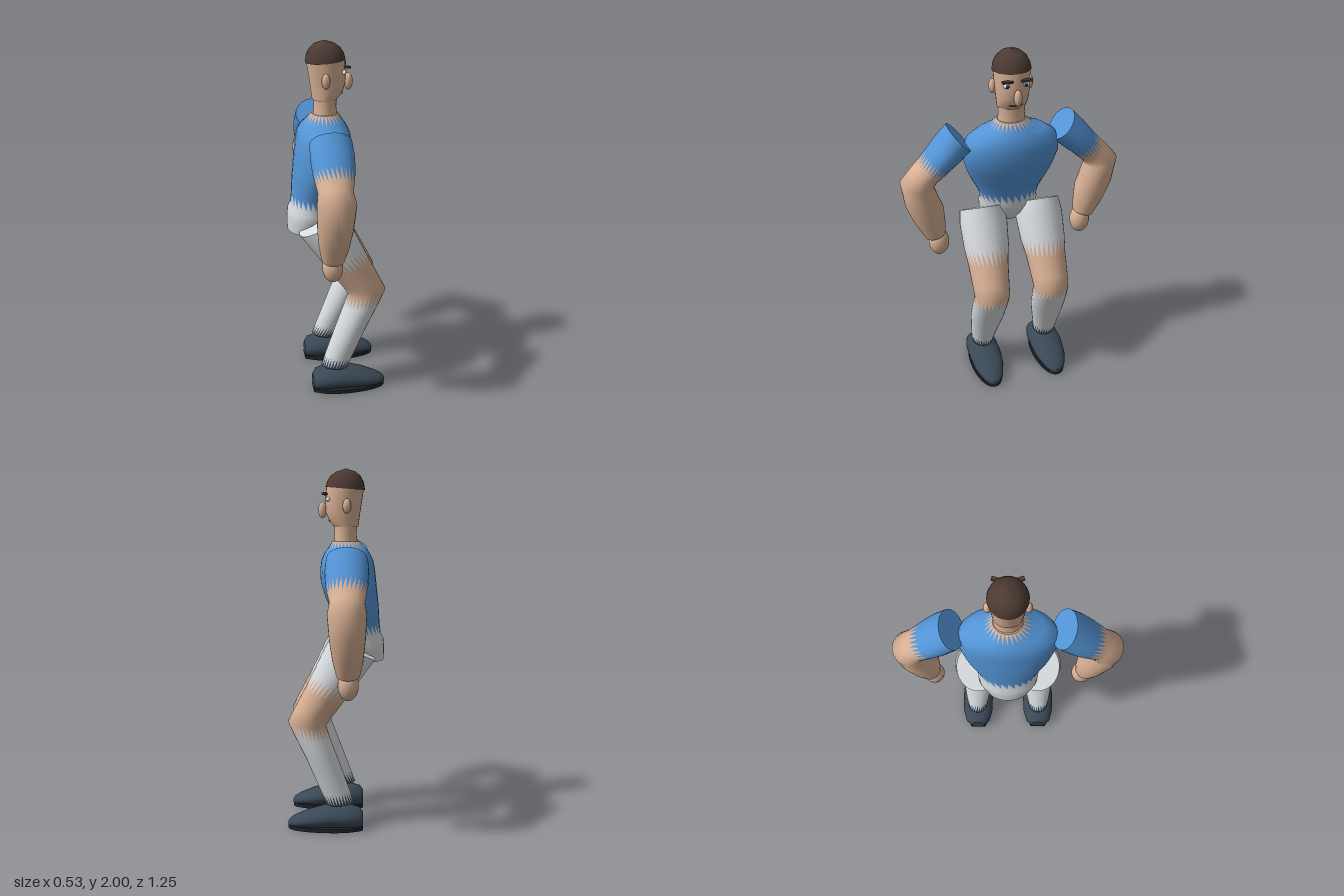
import * as THREE from 'three';

const mat = (name, color) => {
  const m = new THREE.MeshStandardMaterial({ color });
  m.name = name;
  return m;
};

const SEG = 28;

// Lofted body part. A ring is [u1,v1, u2,v2, w, rw]: an ellipse whose one axis runs from (u1,v1)
// to (u2,v2) and whose other axis is w +- rw. "place" maps (u,v,w) to a position.
// Each band has one material, or a pair that meets in a sawtooth edge.
function loft(name, rings, bands, place) {
  const pos = [], tris = new Map();
  const add = (m, a, b, c) => {
    if (!tris.has(m)) tris.set(m, []);
    tris.get(m).push([a, b, c]);
  };
  const ring = ([u1, v1, u2, v2, w, rw]) => {
    const start = pos.length / 3;
    for (let j = 0; j < SEG; j++) {
      const a = (j / SEG) * Math.PI * 2, c = Math.cos(a) / 2;
      pos.push(...place((u1 + u2) / 2 + (u2 - u1) * c, (v1 + v2) / 2 + (v2 - v1) * c, w + rw * Math.sin(a)));
    }
    return start;
  };
  const starts = rings.map(ring);
  bands.forEach((band, i) => {
    const [m1, m2] = Array.isArray(band) ? band : [band, band];
    const a = starts[i], b = starts[i + 1];
    for (let j = 0; j < SEG; j++) {
      const k = (j + 1) % SEG;
      add(m1, a + j, a + k, b + j);
      add(m2, a + k, b + k, b + j);
    }
  });
  // flat end caps with their own vertices
  const cap = (r, m, flip) => {
    const s = ring(r);
    for (let j = 1; j < SEG - 1; j++) flip ? add(m, s, s + j, s + j + 1) : add(m, s, s + j + 1, s + j);
  };
  const first = [bands[0]].flat()[0], last = [bands[bands.length - 1]].flat().pop();
  cap(rings[0], first, false);
  cap(rings[rings.length - 1], last, true);

  // turn every face outward
  const P = (i) => new THREE.Vector3().fromArray(pos, i * 3);
  let volume = 0;
  for (const list of tris.values())
    for (const [a, b, c] of list) volume += P(a).dot(P(b).cross(P(c)));
  const geo = new THREE.BufferGeometry(), index = [], mats = [];
  for (const [m, list] of tris) {
    geo.addGroup(index.length, list.length * 3, mats.length);
    mats.push(m);
    for (const [a, b, c] of list) volume > 0 ? index.push(a, b, c) : index.push(a, c, b);
  }
  geo.setAttribute('position', new THREE.Float32BufferAttribute(pos, 3));
  geo.setIndex(index);
  geo.computeVertexNormals();
  const mesh = new THREE.Mesh(geo, mats);
  mesh.name = name;
  return mesh;
}

function ellipsoid(name, material, center, radii) {
  const mesh = new THREE.Mesh(new THREE.SphereGeometry(1, 20, 14), material);
  mesh.position.set(...center);
  mesh.scale.set(...radii);
  mesh.name = name;
  return mesh;
}

export function createModel() {
  const skin = mat('skin', 0xd8b094), hair = mat('hair', 0x4c3a32), shirt = mat('shirtBlue', 0x5394d6);
  const cloth = mat('lightCloth', 0xd6dadd), shoe = mat('shoe', 0x3a4856), sole = mat('sole', 0x1e242b);
  const white = mat('eyeWhite', 0xe8e8e8), iris = mat('iris', 0x3f6c96), dark = mat('dark', 0x1c1715);
  const lip = mat('mouth', 0x6b3f35);

  const model = new THREE.Group();
  model.name = 'figure';
  const straight = (u, v, w) => [u, v, w];
  const flat = ([y, x1, x2, rz]) => [x1, y, x2, y, 0, rz];

  // torso with shirt and hips
  model.add(loft('torso', [
    [1.605, -0.125, 0.02, 0.08], [1.56, -0.17, 0.05, 0.125], [1.54, -0.185, 0.065, 0.19],
    [1.5, -0.205, 0.083, 0.25], [1.45, -0.215, 0.09, 0.27], [1.38, -0.223, 0.088, 0.27],
    [1.3, -0.232, 0.065, 0.247], [1.236, -0.238, 0.037, 0.222], [1.15, -0.243, 0.01, 0.178],
    [1.09, -0.25, 0, 0.163], [1.06, -0.266, 0, 0.17], [1.01, -0.27, -0.02, 0.165], [0.94, -0.268, -0.08, 0.13],
  ].map(flat), [[skin, shirt], shirt, shirt, shirt, shirt, shirt, shirt, shirt, [shirt, cloth], cloth, cloth, cloth], straight));

  // neck, head and hair
  const head = new THREE.Group();
  head.name = 'head';
  model.add(head);
  head.add(loft('neck', [[1.59, -0.12, 0.015, 0.078], [1.64, -0.112, 0.01, 0.072], [1.7, -0.115, 0.012, 0.076]].map(flat), [skin, skin], straight));
  head.add(loft('face', [
    [1.685, -0.122, 0.015, 0.08], [1.715, -0.126, 0.04, 0.085], [1.76, -0.132, 0.057, 0.09],
    [1.82, -0.141, 0.062, 0.095], [1.9, -0.153, 0.056, 0.1],
  ].map(flat), [skin, skin, skin, skin], straight));
  head.add(loft('hair', [
    [-0.158, 1.885, 0.06, 1.902, 0, 0.105], [-0.152, 1.925, 0.052, 1.93, 0, 0.098], [-0.136, 1.958, 0.034, 1.96, 0, 0.083],
    [-0.108, 1.984, 0.002, 1.984, 0, 0.054], [-0.058, 2, -0.048, 2, 0, 0.006],
  ], [hair, hair, hair, hair], straight));
  head.add(ellipsoid('nose', skin, [0.077, 1.775, 0], [0.024, 0.046, 0.022]));
  const smile = new THREE.QuadraticBezierCurve3(
    new THREE.Vector3(0.03, 1.718, -0.038), new THREE.Vector3(0.053, 1.711, 0), new THREE.Vector3(0.03, 1.718, 0.038));
  const mouth = new THREE.Mesh(new THREE.TubeGeometry(smile, 12, 0.004, 6), lip);
  mouth.name = 'mouth';
  head.add(mouth);

  for (const s of [1, -1]) {
    const side = (u, v, w) => [u, v, s * w];
    const across = (u, v, w) => [w, v, s * u];

    // ear, eye and brow
    head.add(ellipsoid('ear', skin, [-0.06, 1.8, s * 0.102], [0.023, 0.041, 0.02]));
    head.add(ellipsoid('eyeball', white, [0.044, 1.835, s * 0.052], [0.012, 0.013, 0.021]));
    head.add(ellipsoid('iris', iris, [0.052, 1.835, s * 0.051], [0.006, 0.011, 0.011]));
    head.add(ellipsoid('pupil', dark, [0.056, 1.835, s * 0.051], [0.004, 0.006, 0.006]));
    const brow = new THREE.Mesh(new THREE.BoxGeometry(0.022, 0.011, 0.062), hair);
    brow.position.set(0.06, 1.864, s * 0.052);
    brow.rotation.set(-s * 0.12, s * 0.25, 0);
    brow.name = 'eyebrow';
    head.add(brow);

    // arm: sleeve, elbow, forearm
    const arm = new THREE.Group();
    arm.name = 'arm';
    model.add(arm);
    arm.add(loft('sleeveAndForearm', [
      [0.355, 1.595, 0.23, 1.45, -0.065, 0.112], [0.42, 1.525, 0.29, 1.395, -0.065, 0.117],
      [0.475, 1.455, 0.35, 1.345, -0.066, 0.112], [0.525, 1.395, 0.395, 1.3, -0.068, 0.1],
      [0.562, 1.357, 0.42, 1.28, -0.07, 0.092], [0.625, 1.28, 0.442, 1.245, -0.07, 0.103],
      [0.603, 1.13, 0.39, 1.1, -0.072, 0.094], [0.555, 1.01, 0.383, 1.0, -0.074, 0.08],
      [0.5, 0.91, 0.385, 0.94, -0.075, 0.062],
    ], [shirt, shirt, [shirt, skin], skin, skin, skin, skin, skin], across));
    arm.add(ellipsoid('hand', skin, [-0.075, 0.872, s * 0.424], [0.056, 0.083, 0.058]));

    // leg: shorts, bare knee, sock
    const leg = new THREE.Group();
    leg.name = 'leg';
    model.add(leg);
    leg.add(loft('thighAndShin', [
      [-0.22, 0.965, 0.02, 1.11, 0.167, 0.122], [-0.18, 0.91, 0.06, 1.03, 0.165, 0.136],
      [-0.1, 0.8, 0.125, 0.89, 0.168, 0.129], [-0.045, 0.725, 0.17, 0.8, 0.172, 0.115],
      [0.015, 0.645, 0.225, 0.695, 0.175, 0.107], [0.053, 0.59, 0.265, 0.615, 0.176, 0.101],
      [0.03, 0.52, 0.225, 0.53, 0.18, 0.103], [-0.015, 0.4, 0.163, 0.405, 0.185, 0.099],
      [-0.082, 0.22, 0.075, 0.205, 0.194, 0.071], [-0.105, 0.155, 0.045, 0.14, 0.195, 0.062],
    ], [cloth, cloth, [cloth, skin], skin, skin, [skin, cloth], cloth, cloth, [cloth, shoe]], side));

    // shoe and sole
    leg.add(loft('shoe', [
      [-0.155, 0.012, 0.095, 0.045], [-0.135, 0.01, 0.122, 0.074], [-0.07, 0.008, 0.14, 0.092], [0.04, 0.008, 0.138, 0.096],
      [0.14, 0.008, 0.108, 0.086], [0.22, 0.008, 0.076, 0.06], [0.255, 0.01, 0.055, 0.035], [0.265, 0.015, 0.04, 0.012],
    ].map(([x, y1, y2, rz]) => [x, y1, x, y2, 0.195, rz]), Array(7).fill(shoe), side));
    const outline = new THREE.Shape();
    outline.setFromPoints(new THREE.SplineCurve([
      [-0.155, -0.045], [-0.07, -0.08], [0.04, -0.088], [0.15, -0.076], [0.235, -0.045], [0.265, 0],
      [0.235, 0.045], [0.15, 0.076], [0.04, 0.088], [-0.07, 0.08], [-0.155, 0.045],
    ].map((p) => new THREE.Vector2(...p))).getPoints(40));
    const base = new THREE.Mesh(new THREE.ExtrudeGeometry(outline, { depth: 0.022, bevelEnabled: false }), sole);
    base.rotation.x = -Math.PI / 2;
    base.position.z = s * 0.195;
    base.name = 'sole';
    leg.add(base);
  }
  return model;
}
